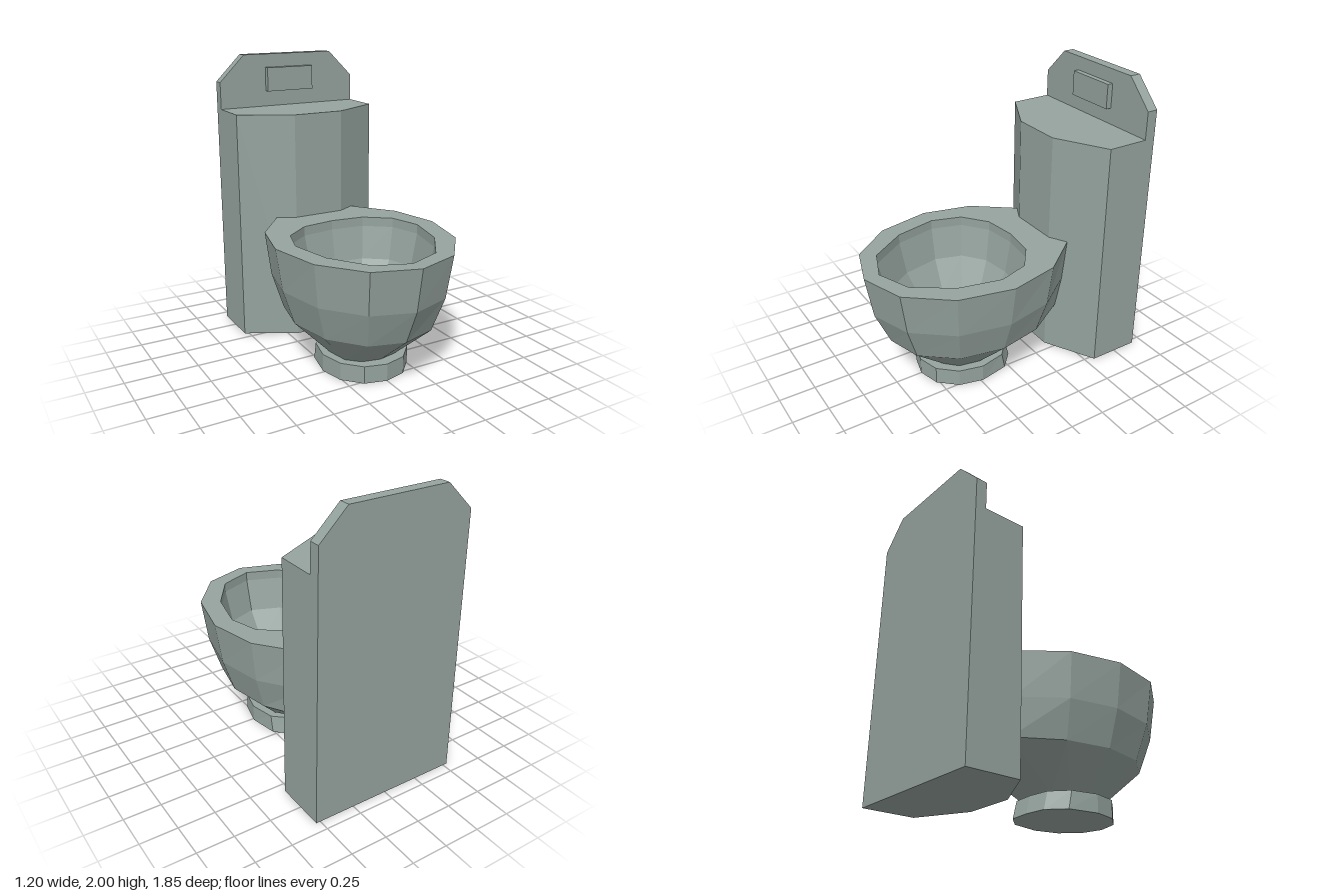
import * as THREE from 'three';

// Full 12-point ring at height y from half of its plan [x, z], front to back on +x
function ring(y, half) {
  const right = half.map(([x, z]) => new THREE.Vector3(x, y, z));
  const left = half.slice(1, -1).reverse().map(([x, z]) => new THREE.Vector3(-x, y, z));
  return [...right, ...left];
}

// Faceted skin through a list of rings, skipping collapsed triangles
function loft(rings) {
  const pos = [];
  const tri = new THREE.Triangle();
  const add = (a, b, c) => {
    tri.set(a, b, c);
    if (tri.getArea() > 1e-7) for (const p of [a, b, c]) pos.push(p.x, p.y, p.z);
  };
  for (let k = 0; k < rings.length - 1; k++) {
    const lo = rings[k], hi = rings[k + 1], n = lo.length;
    for (let i = 0; i < n; i++) {
      const j = (i + 1) % n;
      add(lo[i], lo[j], hi[j]);
      add(lo[i], hi[j], hi[i]);
    }
  }
  const geo = new THREE.BufferGeometry();
  geo.setAttribute('position', new THREE.Float32BufferAttribute(pos, 3));
  geo.computeVertexNormals();
  return geo;
}

function extrude(points, depth) {
  const shape = new THREE.Shape(points.map(([x, y]) => new THREE.Vector2(x, y)));
  return new THREE.ExtrudeGeometry(shape, { depth, bevelEnabled: false });
}

export function createModel() {
  const group = new THREE.Group();
  const ceramic = new THREE.MeshStandardMaterial({ color: 0x95a39e, flatShading: true });
  ceramic.name = 'greyCeramic';
  const black = new THREE.MeshStandardMaterial({ color: 0x0d0d0d });
  black.name = 'drainBlack';
  const part = (name, geo, mat = ceramic) => {
    const mesh = new THREE.Mesh(geo, mat);
    mesh.name = name;
    group.add(mesh);
    return mesh;
  };

  // Tall cistern with a three-sided front
  const tank = extrude([[-0.53, 0.85], [-0.53, 0.565], [-0.18, 0.375],
    [0.18, 0.375], [0.53, 0.565], [0.53, 0.85]], 1.625);
  tank.rotateX(-Math.PI / 2);
  part('tank', tank);

  // Back panel with clipped top corners
  part('backPanel', extrude([[-0.53, 0], [0.53, 0], [0.53, 1.815], [0.345, 2],
    [-0.345, 2], [-0.53, 1.815]], 0.075)).position.z = -0.925;

  // Flush plate
  part('flushButton', new THREE.BoxGeometry(0.36, 0.17, 0.04)).position.set(0, 1.82, -0.83);

  // Bowl: outer wall upward, across the rim, then down the inside
  const opening = [[0, 0.82], [0.23, 0.73], [0.4, 0.48], [0.465, 0.19],
    [0.4, -0.02], [0.23, -0.15], [0, -0.18]];
  const shrink = (s) => opening.map(([x, z]) => [x * s, 0.23 + (z - 0.23) * s]);
  const drainEdge = opening.map((p, i) => {
    const a = i * Math.PI / 6;
    return [0.125 * Math.sin(a), 0.23 + 0.125 * Math.cos(a)];
  });
  part('bowl', loft([
    ring(0.12, [[0, 0.48], [0.13, 0.45], [0.21, 0.37], [0.24, 0.22], [0.21, 0.08], [0.12, 0.01], [0, 0]]),
    ring(0.36, [[0, 0.77], [0.235, 0.7], [0.415, 0.48], [0.475, 0.18], [0.415, -0.12], [0.24, -0.41], [0, -0.41]]),
    ring(0.6, [[0, 0.875], [0.28, 0.78], [0.485, 0.525], [0.555, 0.18], [0.485, -0.15], [0.28, -0.427], [0, -0.427]]),
    ring(0.895, [[0, 0.925], [0.3, 0.825], [0.52, 0.55], [0.6, 0.18], [0.52, -0.165], [0.3, -0.445], [0, -0.445]]),
    ring(0.895, opening),
    ring(0.83, opening),
    ring(0.6, shrink(0.9)),
    ring(0.38, shrink(0.64)),
    ring(0.24, drainEdge),
  ]));

  // Drain hole
  const drain = part('drain', new THREE.CircleGeometry(0.13, 16), black);
  drain.rotation.x = -Math.PI / 2;
  drain.position.set(0, 0.246, 0.23);

  // Foot, kicked out slightly at the back
  const front = [[0, 0.56], [0.15, 0.52], [0.26, 0.4], [0.3, 0.235]];
  const top = [...front, [0.26, 0.055], [0.15, -0.045], [0, -0.06]];
  const base = [...front, [0.26, 0.03], [0.15, -0.075], [0, -0.09]];
  const centre = front.concat(front.slice(1)).map(() => [0, 0.235]);
  part('foot', loft([ring(0, centre), ring(0, base), ring(0.12, top), ring(0.12, centre)]));

  return group;
}
